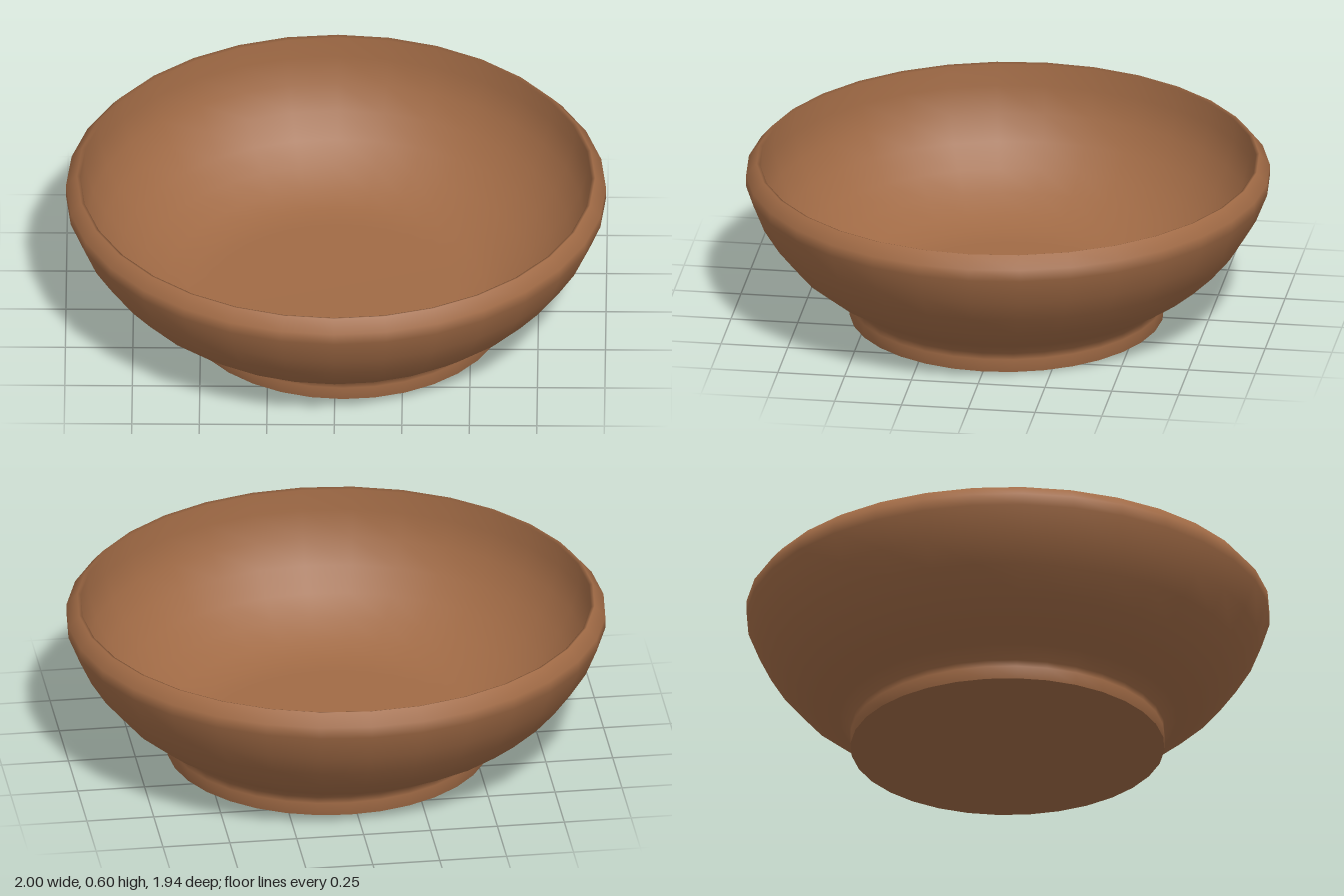
import * as THREE from 'three';

const SIDES = 32;
const FOOT_TOP = 0.08;

export function createModel() {
  const group = new THREE.Group();
  group.name = 'bowl';
  const wood = new THREE.MeshStandardMaterial({ color: 0xa06a45 });
  wood.name = 'brown wood';

  // slightly oval turned part from [radius, height] pairs; the foot sits a little off centre
  const turn = (name, profile) => {
    const points = profile.map(([r, y]) => new THREE.Vector2(r, y));
    const geometry = new THREE.LatheGeometry(points, SIDES).scale(1, 1, 0.97);
    const pos = geometry.attributes.position;
    for (let i = 0; i < pos.count; i++) {
      if (pos.getY(i) < FOOT_TOP) pos.setX(i, pos.getX(i) + 0.03);
    }
    const mesh = new THREE.Mesh(geometry, wood);
    mesh.name = name;
    group.add(mesh);
  };

  turn('bowlBody', [
    // foot ring
    [0.588, 0], [0.6, 0.001], [0.6, 0.05], [0.6, 0.075],
    // curved outside wall
    [0.645, 0.107], [0.74, 0.16], [0.825, 0.228], [0.9, 0.315], [0.957, 0.405], [1, 0.51],
    // bevelled lip
    [1, 0.555], [0.96, 0.6], [0.947, 0.595],
    // deep hollow, following the outside wall
    [0.95, 0.51], [0.92, 0.41], [0.87, 0.318], [0.8, 0.237], [0.72, 0.172],
    [0.63, 0.122], [0.55, 0.092], [0.45, 0.082], [0, 0.082],
  ]);

  // flat underside
  turn('footBase', [[0, 0], [0.6, 0]]);

  return group;
}
